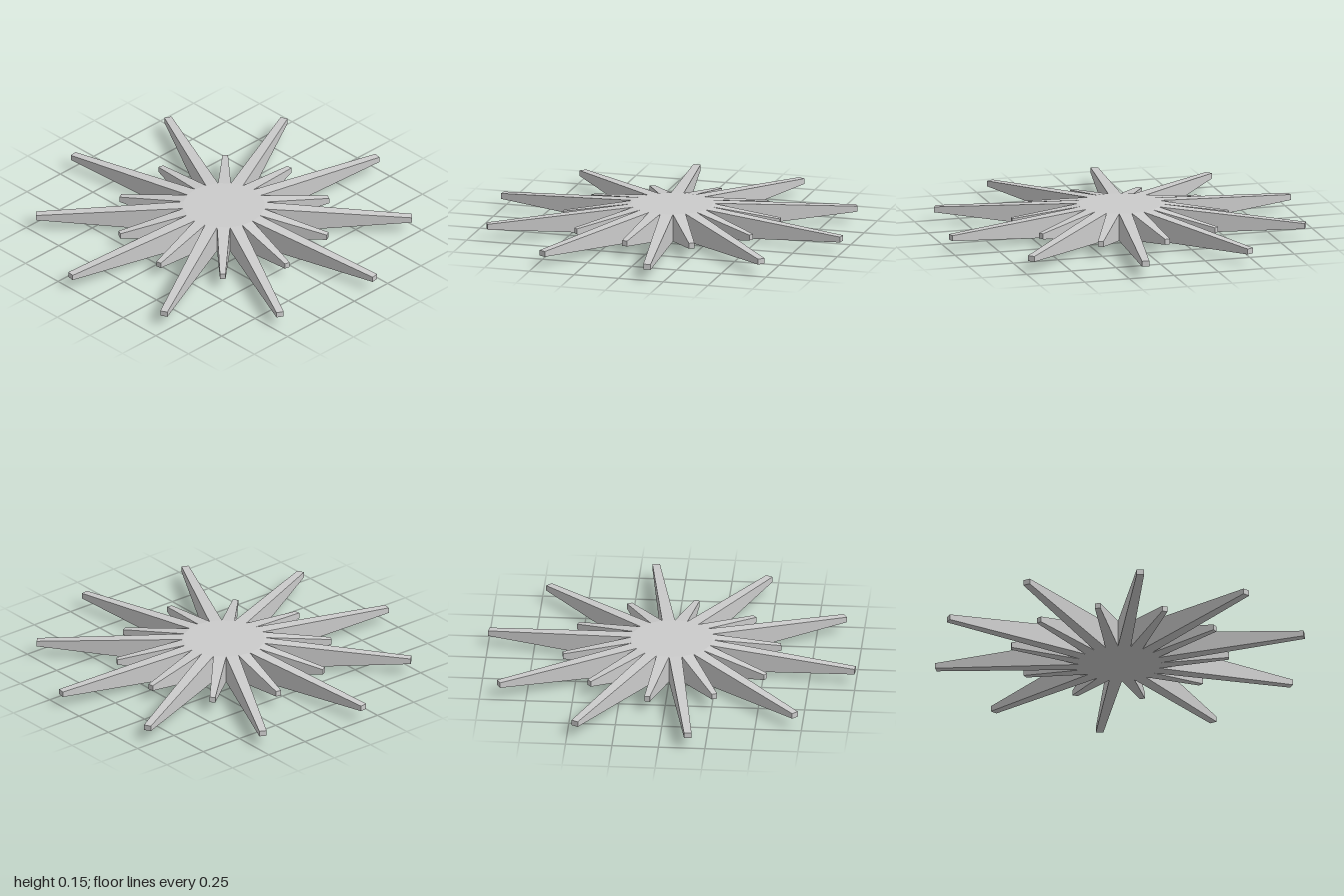
import * as THREE from 'three';

const RAYS = 20;
const HUB_RADIUS = 0.22;
const HEIGHT = 0.15;
const TIP_HEIGHT = 0.03;
const STEP = (Math.PI * 2) / RAYS;

// Box running along +x from the hub's side to the tip, tapered in width and height
function rayGeometry(tipRadius, tipWidth) {
  const start = HUB_RADIUS * Math.cos(STEP / 2);
  const baseWidth = 2 * HUB_RADIUS * Math.sin(STEP / 2);
  const length = tipRadius - start;
  const geometry = new THREE.BoxGeometry(length, HEIGHT, baseWidth);
  geometry.translate(start + length / 2, 0, 0);
  const p = geometry.attributes.position;
  for (let i = 0; i < p.count; i++) {
    if (p.getX(i) > start + length / 2) {
      p.setY(i, Math.sign(p.getY(i)) * TIP_HEIGHT / 2);
      p.setZ(i, Math.sign(p.getZ(i)) * tipWidth / 2);
    }
  }
  geometry.computeVertexNormals();
  return geometry;
}

export function createModel() {
  const group = new THREE.Group();
  group.name = 'starburst';
  const material = new THREE.MeshStandardMaterial({ color: 0xcccccc, flatShading: true });

  // Flat hub, one side per ray
  const hub = new THREE.Mesh(
    new THREE.CylinderGeometry(HUB_RADIUS, HUB_RADIUS, HEIGHT, RAYS), material);
  hub.name = 'hub';
  hub.position.y = HEIGHT / 2;
  group.add(hub);

  // Alternating long and short rays
  const longRay = rayGeometry(1.009, 0.04);
  const shortRay = rayGeometry(0.587, 0.03);
  for (let i = 0; i < RAYS; i++) {
    const isLong = i % 2 === 0;
    const ray = new THREE.Mesh(isLong ? longRay : shortRay, material);
    ray.name = isLong ? 'longRay' : 'shortRay';
    ray.position.y = HEIGHT / 2;
    ray.rotation.y = -(i + 0.5) * STEP;
    group.add(ray);
  }
  return group;
}
